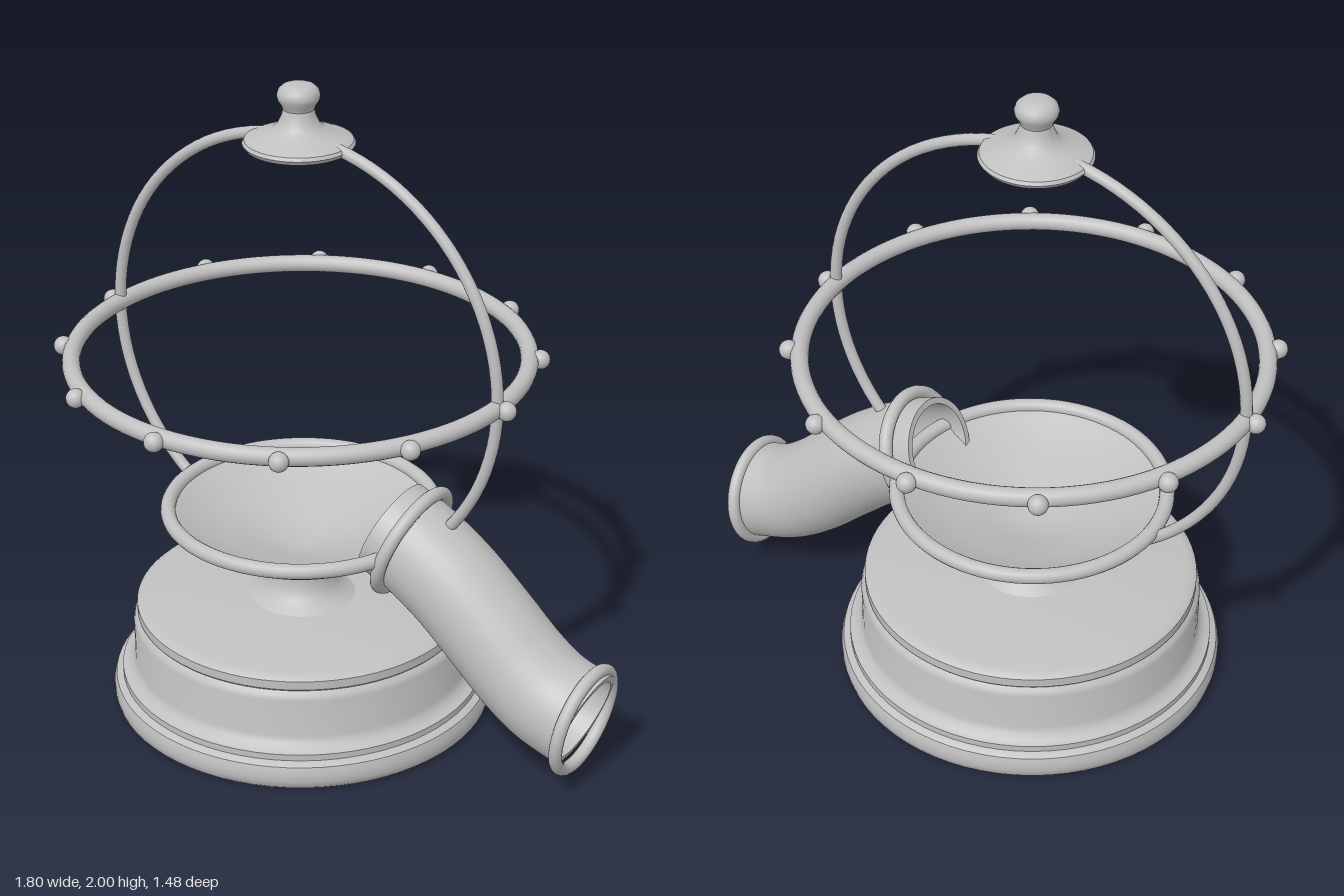
import * as THREE from 'three';
import { toCreasedNormals } from 'three/addons/utils/BufferGeometryUtils.js';

const AXIS_X = -0.155; // the stand's vertical axis
const RING_Y = 1.16;

export function createModel() {
  const model = new THREE.Group();
  model.name = 'globeStand';
  const grey = new THREE.MeshStandardMaterial({ color: 0xc0c0c0 });
  grey.name = 'plain grey';

  const add = (name, geometry, parent = model) => {
    const mesh = new THREE.Mesh(geometry, grey);
    mesh.name = name;
    parent.add(mesh);
    return mesh;
  };
  const lathe = (name, profile, parent) => add(name, toCreasedNormals(
    new THREE.LatheGeometry(profile.map(([r, y]) => new THREE.Vector2(r, y)), 72), 0.6), parent);

  // Everything turned about the stand's axis
  const stand = new THREE.Group();
  stand.name = 'stand';
  stand.position.x = AXIS_X;
  model.add(stand);

  // Stepped round base
  lathe('base', [
    [0, 0], [0.58, 0], [0.59, 0.01], [0.595, 0.03], [0.595, 0.055], [0.588, 0.077], [0.575, 0.085],
    [0.567, 0.088], [0.567, 0.108], [0.55, 0.114], [0.535, 0.128], [0.527, 0.147], [0.527, 0.27],
    [0.522, 0.285], [0.51, 0.296], [0.515, 0.302], [0.515, 0.33], [0.505, 0.338], [0.485, 0.343], [0, 0.343],
  ], stand);

  // Flared pedestal opening into a shallow conical bowl
  lathe('pedestalBowl', [
    [0.168, 0.34], [0.145, 0.354], [0.12, 0.373], [0.106, 0.4], [0.101, 0.435], [0.105, 0.465],
    [0.118, 0.485], [0.16, 0.502], [0.22, 0.52], [0.28, 0.545], [0.34, 0.575], [0.39, 0.61], [0.415, 0.645],
    [0.39, 0.64], [0.37, 0.625], [0.25, 0.58], [0.12, 0.535], [0, 0.5],
  ], stand);
  const bowlRim = add('bowlRim', new THREE.TorusGeometry(0.41, 0.023, 16, 80), stand);
  bowlRim.rotation.x = Math.PI / 2;
  bowlRim.position.y = 0.643;

  // Upright hoop and horizontal beaded ring
  add('uprightHoop', new THREE.TorusGeometry(0.682, 0.018, 14, 100), stand).position.y = RING_Y;
  const ring = add('horizontalRing', new THREE.TorusGeometry(0.681, 0.027, 16, 100), stand);
  ring.rotation.x = Math.PI / 2;
  ring.position.y = RING_Y;
  const beadGeometry = new THREE.SphereGeometry(0.029, 20, 14);
  for (let i = 0; i < 12; i++) {
    const a = i * Math.PI / 6;
    add('ringBead', beadGeometry, stand).position.set(0.713 * Math.cos(a), RING_Y, 0.713 * Math.sin(a));
  }

  // Cap with knob finial
  lathe('capFinial', [
    [0, 1.804], [0.135, 1.804], [0.155, 1.811], [0.164, 1.824], [0.158, 1.834], [0.12, 1.85], [0.08, 1.865],
    [0.062, 1.88], [0.05, 1.905], [0.045, 1.925], [0.05, 1.938], [0.06, 1.953], [0.063, 1.967],
    [0.058, 1.983], [0.045, 1.995], [0.03, 2], [0, 2],
  ], stand);

  // Hollow chute swept along an S-curve from the bowl
  const path = new THREE.CatmullRomCurve3([
    [0.17, 0.67], [0.25, 0.637], [0.39, 0.55], [0.53, 0.43], [0.63, 0.34], [0.73, 0.272], [0.853, 0.23],
  ].map(([x, y]) => new THREE.Vector3(x, y, 0)));
  const wall = new THREE.Shape().absarc(0, 0, 0.154, 0, Math.PI * 2, false);
  wall.holes.push(new THREE.Path().absarc(0, 0, 0.134, 0, Math.PI * 2, true));
  add('chute', toCreasedNormals(new THREE.ExtrudeGeometry(wall, {
    extrudePath: path, steps: 40, curveSegments: 48, bevelEnabled: false,
  }), 0.6));

  // Rolled collars at both ends of the chute
  const collar = (name, x, y, tilt, radius, tube) => {
    const mesh = add(name, new THREE.TorusGeometry(radius, tube, 16, 64));
    mesh.position.set(x, y, 0);
    mesh.rotation.set(0, Math.PI / 2, tilt, 'ZYX');
  };
  collar('upperCollar', 0.245, 0.645, -0.35, 0.168, 0.021);
  collar('lowerCollar', 0.851, 0.23, -0.15, 0.16, 0.02);

  return model;
}
